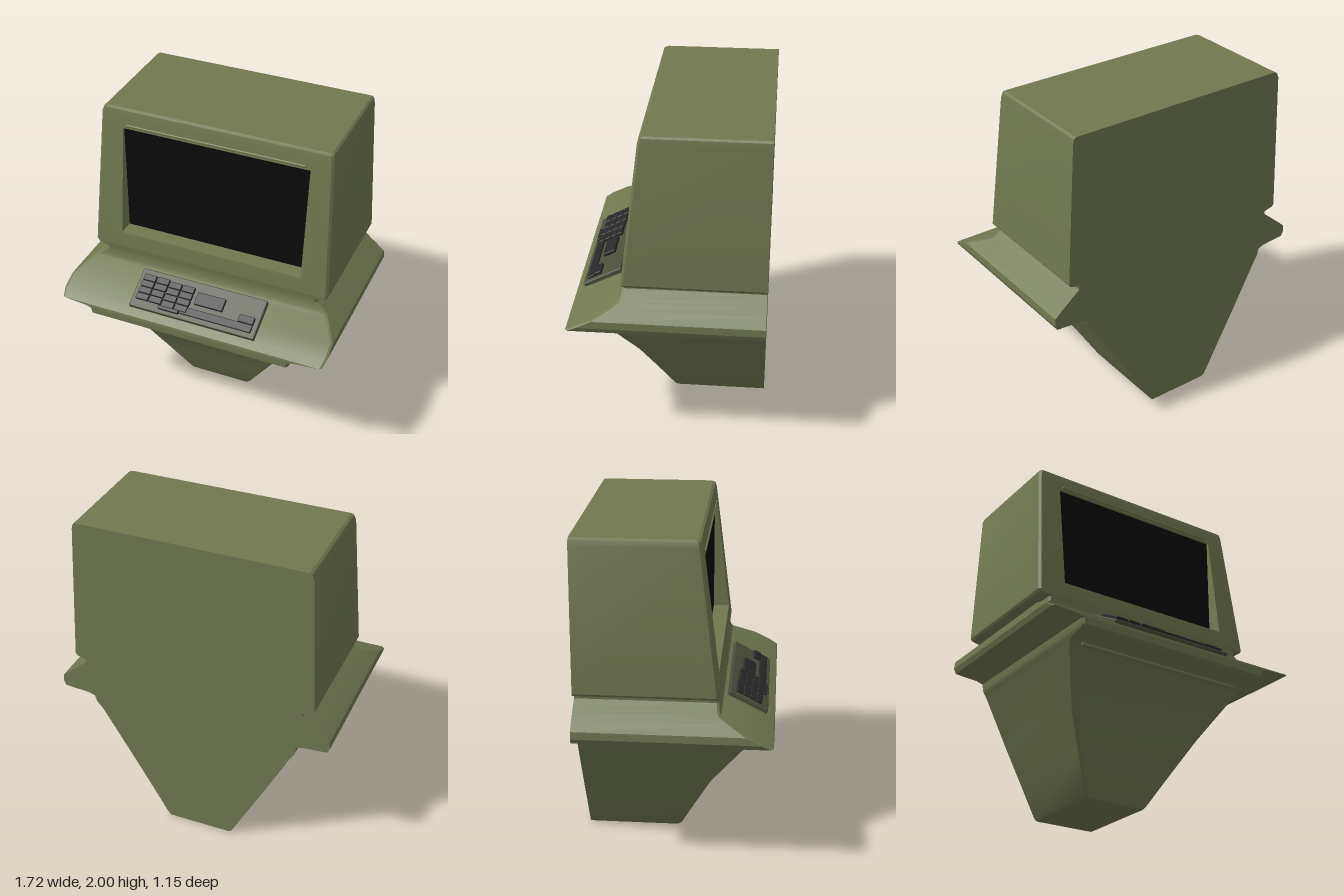
import * as THREE from 'three';
import { toCreasedNormals } from 'three/addons/utils/BufferGeometryUtils.js';
import { RoundedBoxGeometry } from 'three/addons/geometries/RoundedBoxGeometry.js';

const BACK = -0.575, BEVEL = 0.014;

// Horizontal sections of the cabinet: y, left x, right x, front z
const SECTIONS = [
  [0, -0.24, 0.16, -0.005], [0.015, -0.257, 0.175, 0.005], [0.22, -0.365, 0.295, 0.1],
  [0.43, -0.477, 0.42, 0.2], [0.71, -0.62, 0.59, 0.39], [0.745, -0.64, 0.615, 0.43],
  [0.76, -0.65, 0.63, 0.555], [0.775, -0.655, 0.64, 0.573], [0.81, -0.66, 0.65, 0.575],
  [0.823, -0.7, 0.69, 0.575], [0.835, -0.848, 0.848, 0.572], [0.865, -0.862, 0.86, 0.52],
  [0.91, -0.858, 0.858, 0.43], [0.96, -0.8, 0.8, 0.33], [0.99, -0.762, 0.762, 0.272],
  [1.01, -0.735, 0.74, 0.262], [1.045, -0.69, 0.695, 0.257], [1.07, -0.69, 0.695, 0.257],
  [1.085, -0.75, 0.75, 0.26], [1.1, -0.76, 0.76, 0.26], [1.96, -0.722, 0.714, 0.155],
  [1.99, -0.71, 0.707, 0.148], [2, -0.695, 0.695, 0.132],
];
const HEAD = 19; // section where the screen bezel starts

function ring([y, l, r, f]) {
  return [[l + BEVEL, f], [r - BEVEL, f], [r, f - BEVEL], [r, BACK], [l, BACK], [l, f - BEVEL]]
    .map(([x, z]) => new THREE.Vector3(x, y, z));
}

function cabinetGeometry() {
  const pos = [];
  const tri = (...p) => p.forEach(v => pos.push(v.x, v.y, v.z));
  const quad = (a, b, c, d) => { tri(a, b, c); tri(a, c, d); };
  const rings = SECTIONS.map(ring);

  // Walls, leaving the bezel open
  for (let i = 0; i < rings.length - 1; i++) {
    const a = rings[i], b = rings[i + 1];
    for (let k = 0; k < 6; k++) {
      const n = (k + 1) % 6;
      if (!(i === HEAD && k === 0)) quad(a[k], a[n], b[n], b[k]);
    }
  }
  // Top and bottom caps
  const top = rings[rings.length - 1], base = rings[0];
  for (let k = 1; k < 5; k++) {
    tri(top[0], top[k], top[k + 1]);
    tri(base[0], base[k + 1], base[k]);
  }
  // Sloping bezel around the opening, then the walls of the screen recess
  const lo = rings[HEAD], hi = rings[HEAD + 1];
  const frontZ = y => THREE.MathUtils.mapLinear(y, lo[0].y, hi[0].y, lo[0].z, hi[0].z);
  const outer = [lo[0], lo[1], hi[1], hi[0]];
  const corners = [[-0.58, 1.19], [0.585, 1.19], [0.585, 1.88], [-0.58, 1.88]];
  const inner = corners.map(([x, y]) => new THREE.Vector3(x, y, frontZ(y)));
  const deep = corners.map(([x, y]) => new THREE.Vector3(x, y, 0.148));
  for (let k = 0; k < 4; k++) {
    const n = (k + 1) % 4;
    quad(outer[k], outer[n], inner[n], inner[k]);
    quad(inner[k], inner[n], deep[n], deep[k]);
  }
  const g = new THREE.BufferGeometry();
  g.setAttribute('position', new THREE.Float32BufferAttribute(pos, 3));
  return toCreasedNormals(g, 0.4);
}

export function createModel() {
  const olive = new THREE.MeshStandardMaterial({ color: 0x70784f });
  const darkOlive = new THREE.MeshStandardMaterial({ color: 0x4b4e3b });
  const charcoal = new THREE.MeshStandardMaterial({ color: 0x29292a });
  const black = new THREE.MeshStandardMaterial({ color: 0x0a0a0a });
  olive.name = 'olive casing';
  darkOlive.name = 'dark olive keyboard';
  charcoal.name = 'charcoal keys';
  black.name = 'black screen';

  const model = new THREE.Group();
  model.name = 'wallTerminal';
  const add = (parent, name, geometry, material, x = 0, y = 0, z = 0) => {
    const mesh = new THREE.Mesh(geometry, material);
    mesh.name = name;
    mesh.position.set(x, y, z);
    parent.add(mesh);
    return mesh;
  };

  add(model, 'cabinet', cabinetGeometry(), olive);
  add(model, 'screen', new THREE.PlaneGeometry(1.165, 0.69), black, 0.0025, 1.535, 0.15);

  // Raised trim above the screen and under the desk lip
  add(model, 'screenTrim', new RoundedBoxGeometry(1.12, 0.016, 0.02, 2, 0.006), olive, 0, 1.9, 0.16);
  add(model, 'lipTrim', new RoundedBoxGeometry(1.1, 0.02, 0.03, 2, 0.008), olive, -0.015, 0.732, 0.41);

  // Keyboard lying on the sloping desk
  const keyboard = new THREE.Group();
  keyboard.name = 'keyboard';
  keyboard.position.set(0, 0.93, 0.412);
  keyboard.rotation.x = 0.49;
  model.add(keyboard);
  add(keyboard, 'keyboardTray', new RoundedBoxGeometry(0.82, 0.036, 0.26, 2, 0.008), darkOlive);

  const key = (name, x0, x1, z0, z1, h = 0.022) =>
    add(keyboard, name, new RoundedBoxGeometry(x1 - x0, h, z1 - z0, 2, 0.006), charcoal,
      (x0 + x1) / 2, 0.016 + h / 2, (z0 + z1) / 2);

  // Key blocks: two columns pairs of keys, the right pair set slightly lower
  for (let c = 0; c < 4; c++) {
    for (let r = 0; r < 4; r++) {
      const x = -0.38 + c * 0.086, z = -0.09 + r * 0.043 + (c > 1 ? 0.008 : 0);
      key('key', x, x + 0.083, z, z + 0.041);
    }
  }
  key('lowerKey', -0.22, -0.085, 0.085, 0.108);
  key('wideKey', -0.015, 0.17, -0.062, 0.02);
  key('spaceBar', -0.085, 0.38, 0.05, 0.1, 0.016);
  key('cornerKey', 0.28, 0.38, 0.002, 0.05);

  return model;
}
